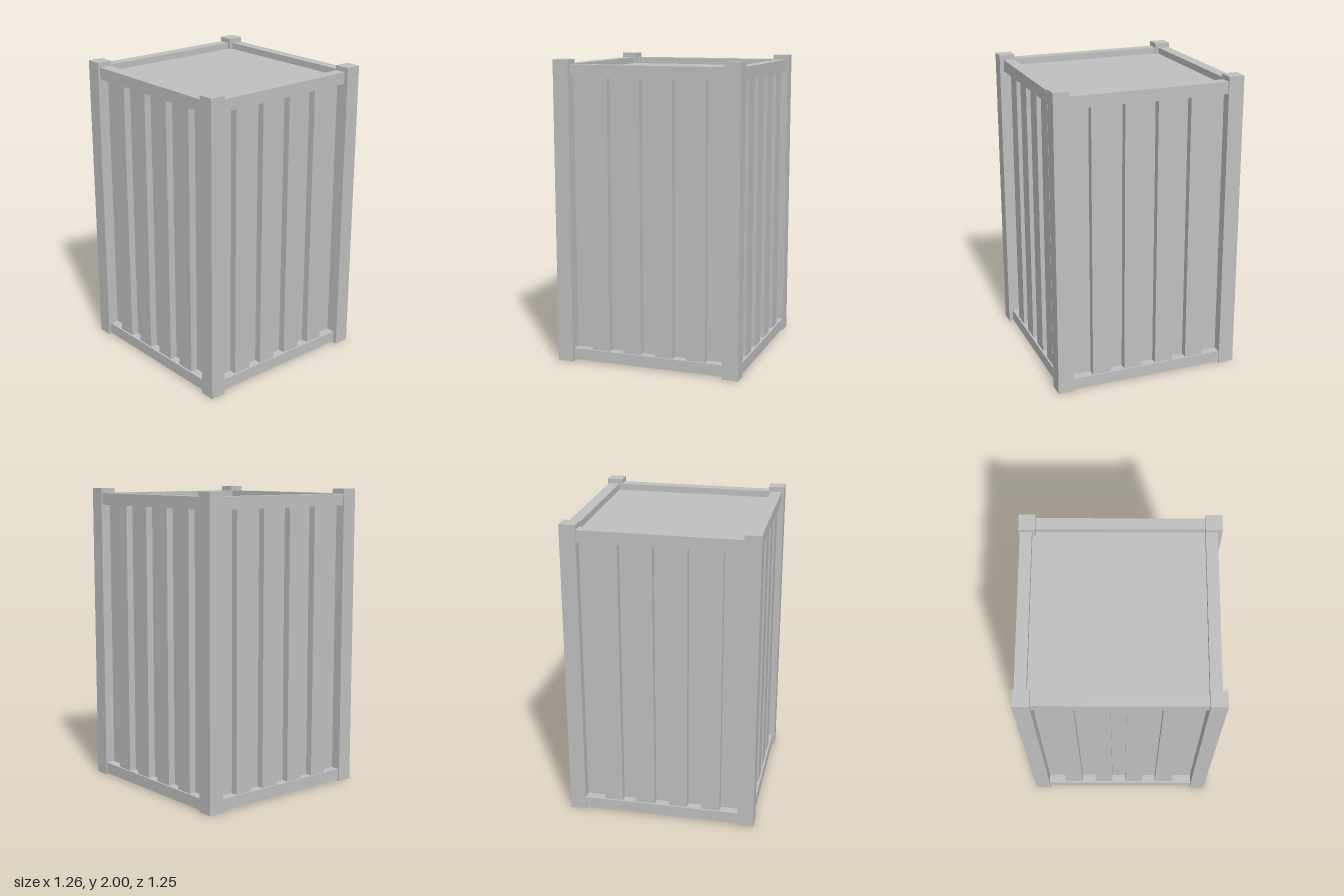
import * as THREE from 'three';

export function createModel() {
  const group = new THREE.Group();
  const metal = new THREE.MeshStandardMaterial({ color: 0xbfbfbf });
  metal.name = 'grey metal';

  // Box given by its lower and upper corners
  const box = (name, x0, x1, y0, y1, z0, z1) => {
    const mesh = new THREE.Mesh(new THREE.BoxGeometry(x1 - x0, y1 - y0, z1 - z0), metal);
    mesh.position.set((x0 + x1) / 2, (y0 + y1) / 2, (z0 + z1) / 2);
    mesh.name = name;
    group.add(mesh);
  };

  // Outer faces of the rails on each side
  const left = 0.602, right = -0.626, front = 0.608, back = -0.621;
  const railDepth = 0.075, wallInset = 0.06, ribInset = 0.012;

  // Corner posts
  const postX = [[-0.633, -0.528], [0.525, 0.63]];
  const postZ = [[-0.628, -0.523], [0.518, 0.623]];
  for (const [x0, x1] of postX)
    for (const [z0, z1] of postZ) box('cornerPost', x0, x1, 0, 2, z0, z1);

  // Closed body: recessed walls, roof and floor
  box('body', right + wallInset, left - wallInset, 0.055, 1.925, back + wallInset, front - wallInset);

  // Top and bottom rails between the posts
  for (const [name, y0, y1] of [['bottomRail', 0.01, 0.085], ['topRail', 1.89, 1.968]]) {
    box(name, -0.528, 0.525, y0, y1, front - railDepth, front);
    box(name, -0.528, 0.525, y0, y1, back, back + railDepth);
    box(name, left - railDepth, left, y0, y1, -0.523, 0.518);
    box(name, right, right + railDepth, y0, y1, -0.523, 0.518);
  }

  // Raised corrugation ribs, four per wall
  const ribWidth = 0.126, pitch = 0.2215;
  for (let i = 0; i < 4; i++) {
    const x = -0.406 + i * pitch;
    box('frontRib', x, x + ribWidth, 0.08, 1.895, front - railDepth, front - ribInset);
    box('backRib', x, x + ribWidth, 0.08, 1.895, back + ribInset, back + railDepth);
    const z = -0.394 + i * 0.2203;
    box('leftRib', left - railDepth, left - ribInset, 0.08, 1.895, z, z + ribWidth);
    box('rightRib', right + ribInset, right + railDepth, 0.08, 1.895, z, z + ribWidth);
  }

  return group;
}
